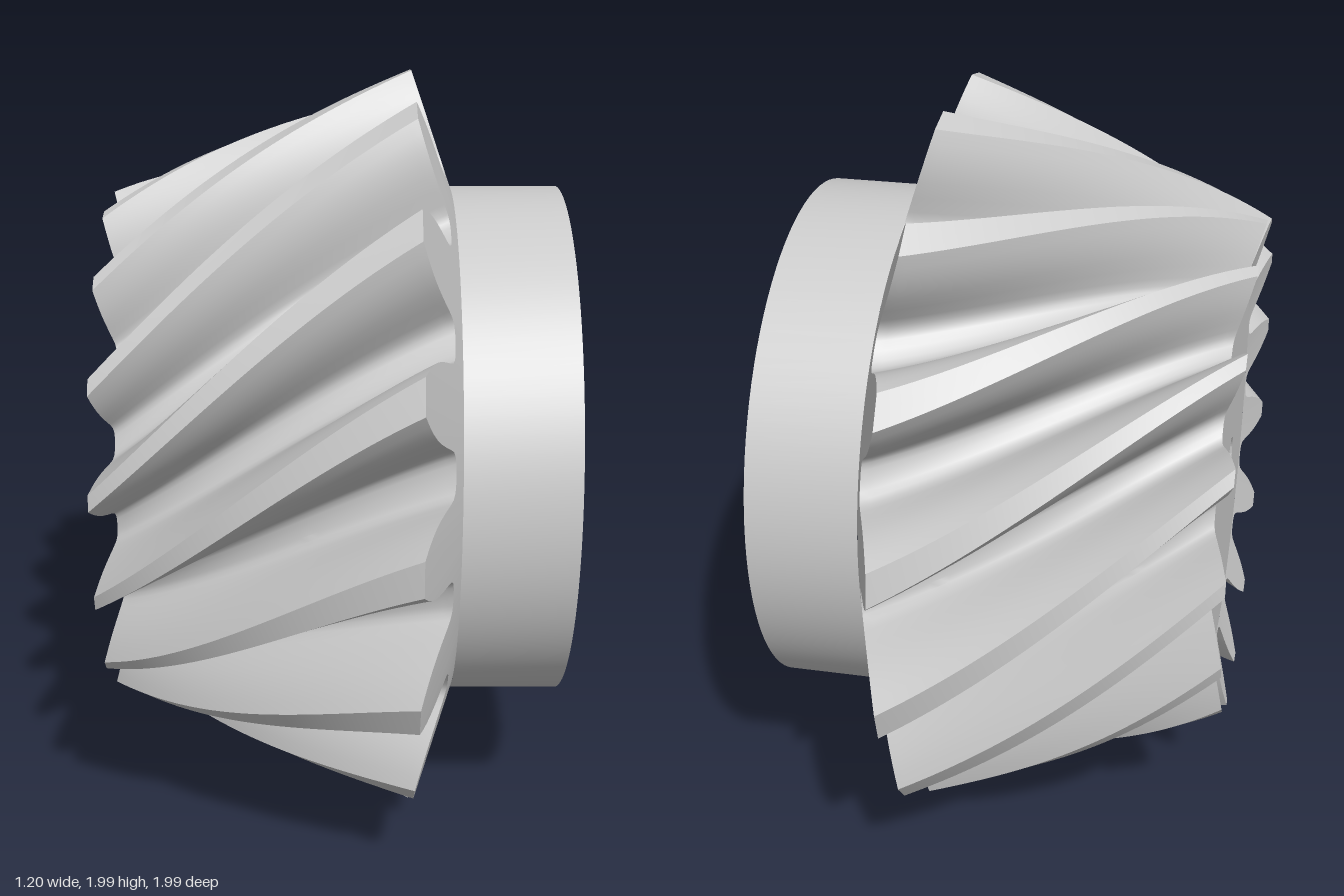
import * as THREE from 'three';
import { toCreasedNormals } from 'three/addons/utils/BufferGeometryUtils.js';

const TEETH = 15;
const PITCH = 360 / TEETH;
const APEX = -2.26;          // x where all tooth lines of the cone meet
const SMALL = 0.675;         // scale of the small end relative to the big end
const TWIST = 43;            // degrees of spiral between the two ends
const START = 176.8;         // angle of one tooth at the big end
const TIP_X = 0.2;           // x of the tooth tips at the big end
const HUB_R = 0.69, ROOT_R = 0.755, BORE_R = 0.07, FLOOR_R = 0.745;

const SLICES = 36;

// Half a tooth on the big end: [radius, degrees from the tooth centre]
const HALF_TOOTH = [
  [1, 2.6], [0.97, 3.8], [0.94, 4.8], [0.91, 5.6], [0.88, 6.2], [0.84, 6.8],
  [0.8, 7.3], [0.775, 7.8], [0.762, 8.7], [0.756, 10], [ROOT_R, 12],
];

// Position along the axis of a point at radius r; t runs from big to small end
function axial(r, t) {
  const lean = THREE.MathUtils.lerp(0.345, 0.29, t);
  const s = 1 - t * (1 - SMALL);
  return APEX + (TIP_X + (1 - r) * lean - APEX) * s;
}

// Outline of all teeth as one closed loop of [radius, degrees, tooth centre]
function gearOutline() {
  const left = HALF_TOOTH.slice(0, -1).reverse().map(([r, a]) => [r, -a]);
  const tooth = [...left, ...HALF_TOOTH];
  const loop = [];
  for (let k = 0; k < TEETH; k++) {
    for (const [r, a] of tooth) loop.push([r, a, START + k * PITCH]);
  }
  return loop;
}

// Back-cone end faces and spiral teeth, as a grid of scaled and turned outlines
function toothedConeGeometry() {
  const outline = gearOutline();
  const rows = [{ t: 0, rim: HUB_R }];
  for (let i = 0; i <= SLICES; i++) rows.push({ t: i / SLICES });
  rows.push({ t: 1, rim: FLOOR_R });

  const n = outline.length;
  const positions = [], index = [];
  for (const { t, rim } of rows) {
    const s = 1 - t * (1 - SMALL);
    const spiral = TWIST * (0.5 * t + 0.5 * t * t);   // tightens to the small end
    for (const [r, offset, centre] of outline) {
      const thin = 1 - 0.3 * t * (r - ROOT_R) / (1 - ROOT_R);   // tips narrow
      const a = THREE.MathUtils.degToRad(centre + offset * thin + spiral);
      const radius = rim ?? r;
      positions.push(axial(radius, t), radius * s * Math.sin(a), -radius * s * Math.cos(a));
    }
  }
  for (let i = 0; i < rows.length - 1; i++) {
    for (let j = 0; j < n; j++) {
      const k = (j + 1) % n;
      const a = i * n + j, b = a + n, c = i * n + k, d = c + n;
      index.push(a, b, c, b, d, c);
    }
  }
  const geo = new THREE.BufferGeometry();
  geo.setAttribute('position', new THREE.Float32BufferAttribute(positions, 3));
  geo.setIndex(index);
  return toCreasedNormals(geo, 0.7);
}

// Hub wall, hub face, bore and small end face, turned around the x axis
function hubGeometry() {
  const floorX = axial(FLOOR_R, 1);
  const profile = [
    [HUB_R, axial(HUB_R, 0)], [HUB_R, 0.597], [BORE_R, 0.597],
    [BORE_R, floorX], [FLOOR_R * SMALL, floorX],
  ].map(([r, x]) => new THREE.Vector2(r, x));
  const geo = new THREE.LatheGeometry(profile, 96);
  geo.rotateZ(-Math.PI / 2);
  return toCreasedNormals(geo, 0.6);
}

export function createModel() {
  const group = new THREE.Group();
  group.name = 'spiralBevelGear';
  const material = new THREE.MeshStandardMaterial({ color: 0xcccccc });
  const add = (name, geometry) => {
    const mesh = new THREE.Mesh(geometry, material);
    mesh.name = name;
    mesh.position.y = 1;
    group.add(mesh);
  };
  add('spiralTeeth', toothedConeGeometry());
  add('hubWithBore', hubGeometry());
  return group;
}
